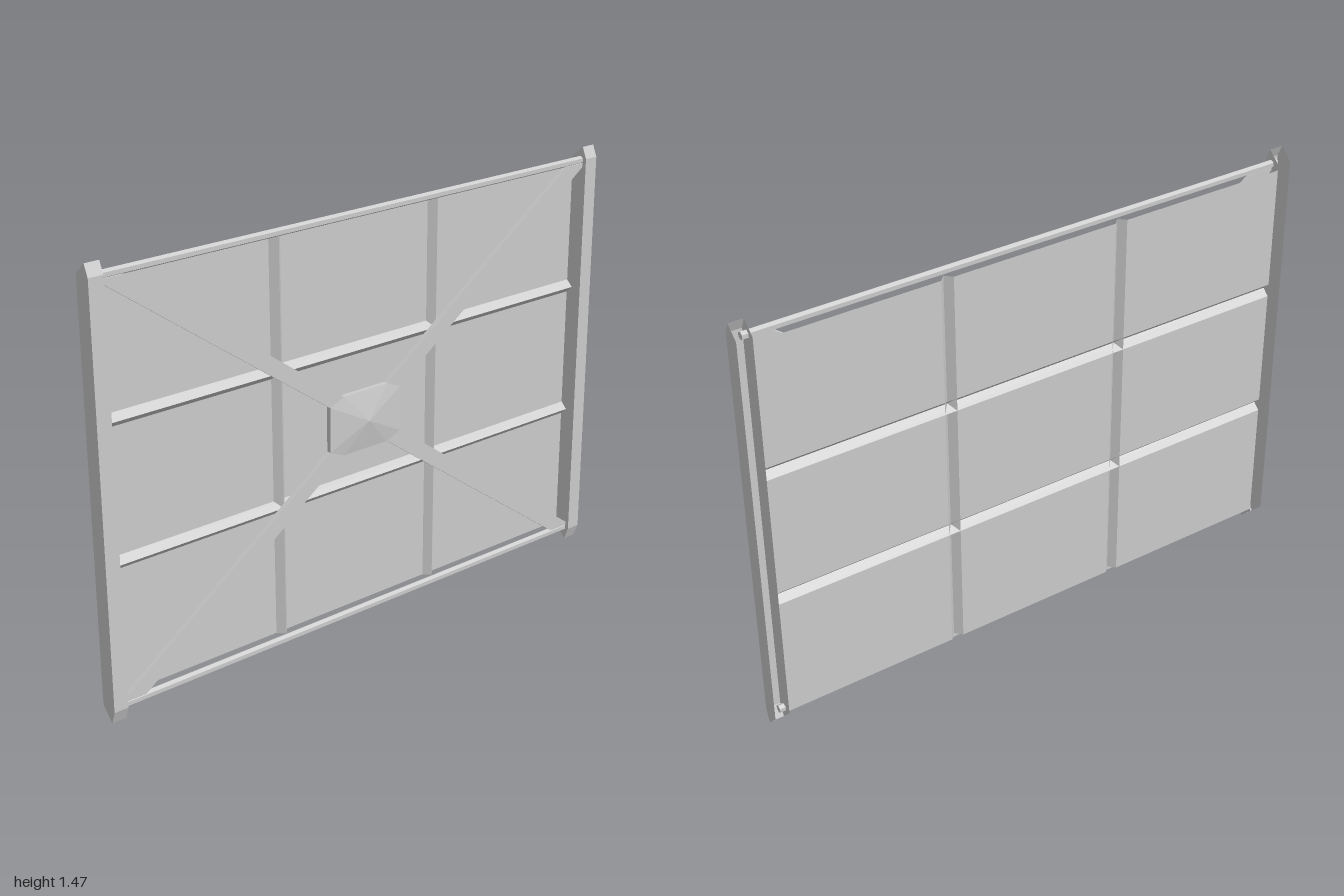
import * as THREE from 'three';

const V = (x, y, z) => new THREE.Vector3(x, y, z);

export function createModel() {
  const group = new THREE.Group();
  const mat = new THREE.MeshStandardMaterial({ color: 0xcccccc, flatShading: true, side: THREE.DoubleSide });
  const add = (geo, name) => {
    const mesh = new THREE.Mesh(geo, mat);
    mesh.name = name;
    group.add(mesh);
    return mesh;
  };

  // Open folded sheet: a polyline of points swept along one vector
  const sheet = (points, along) => {
    const pos = [];
    for (let i = 0; i < points.length - 1; i++) {
      const a = points[i], b = points[i + 1];
      const c = b.clone().add(along), d = a.clone().add(along);
      for (const p of [a, b, c, a, c, d]) pos.push(p.x, p.y, p.z);
    }
    const geo = new THREE.BufferGeometry();
    geo.setAttribute('position', new THREE.Float32BufferAttribute(pos, 3));
    geo.computeVertexNormals();
    return geo;
  };

  const top = 1.41, bottom = 0.055, mid = 0.734, half = 0.95;
  const back = -0.034, ridge = -0.011, w = 0.022;

  // End posts: pointed channels, open towards the back of the panel
  const rim = [[0.01, 0], [0.027, 0.045], [0.027, 1.428], [0.01, 1.467]];
  const plate = new THREE.Shape([...rim, [-0.035, 1.428], [-0.035, 0.045]].map(p => new THREE.Vector2(...p)));
  for (const s of [1, -1]) {
    for (const z of [0.95, 1]) {
      const geo = new THREE.ShapeGeometry(plate);
      // outer plates face out, inner plates face the panel
      if ((z === 1) !== (s === 1)) geo.rotateY(Math.PI).scale(-1, 1, 1);
      add(geo, z === 1 ? 'postOuterPlate' : 'postInnerPlate').position.z = s * z;
    }
    const pts = rim.map(([x, y]) => V(x, y, s * 0.95));
    if (s < 0) pts.reverse();
    add(sheet(pts, V(0, 0, s * 0.05)), 'postFlange');
  }

  // Panel cells between the ribs
  const ribZ = [-0.317, 0.317], ribY = [0.507, 0.966];
  const spans = (lo, hi, ribs) => [[lo, ribs[0] - w], [ribs[0] + w, ribs[1] - w], [ribs[1] + w, hi]];
  for (const [z0, z1] of spans(-half, half, ribZ))
    for (const [y0, y1] of spans(bottom, top, ribY))
      add(sheet([V(back, y0, z0), V(back, y1, z0)], V(0, 0, z1 - z0)), 'panelCell');

  // Folded V ribs, raised on one side and grooved on the other
  for (const y of ribY)
    add(sheet([V(back, y - w, -half), V(ridge, y, -half), V(back, y + w, -half)], V(0, 0, 2 * half)), 'horizontalRib');
  for (const z of ribZ)
    add(sheet([V(back, bottom, z + w), V(ridge, bottom, z), V(back, bottom, z - w)], V(0, top - bottom, 0)), 'verticalRib');

  // Top and bottom rails
  for (const y of [1.421, 0.047]) {
    const rail = add(new THREE.CylinderGeometry(0.0135, 0.0135, 1.94, 6).rotateX(Math.PI / 2), 'rail');
    rail.position.set(0.001, y, 0);
  }

  // Cross brace with an eight-sided hub, one quadrant mirrored to four
  const arm = [[0.145, 0.077], [0.95, 0.665], [0.95, 0.677], [0.875, 0.677], [0.09, 0.101]];
  const mirror = (pts, sx, sy) => {
    const out = pts.map(([x, y]) => new THREE.Vector2(x * sx, y * sy));
    return sx * sy < 0 ? out.reverse() : out;
  };
  const around = pts => [[1, 1], [-1, 1], [-1, -1], [1, -1]].flatMap(([sx, sy]) => mirror(pts, sx, sy));
  const brace = new THREE.ExtrudeGeometry(new THREE.Shape(around(arm)), { depth: 0.017, bevelEnabled: false });
  add(brace.rotateY(Math.PI / 2), 'crossBrace').position.set(-0.004, mid, 0);

  // Shallow pyramid on the hub
  const hub = around([arm[0], arm[4]]);
  const tip = [];
  hub.forEach((p, i) => {
    const q = hub[(i + 1) % hub.length];
    tip.push(0.031, mid, 0, 0.013, mid + p.y, -p.x, 0.013, mid + q.y, -q.x);
  });
  const cap = new THREE.BufferGeometry();
  cap.setAttribute('position', new THREE.Float32BufferAttribute(tip, 3));
  cap.computeVertexNormals();
  add(cap, 'hubCap');

  return group;
}
